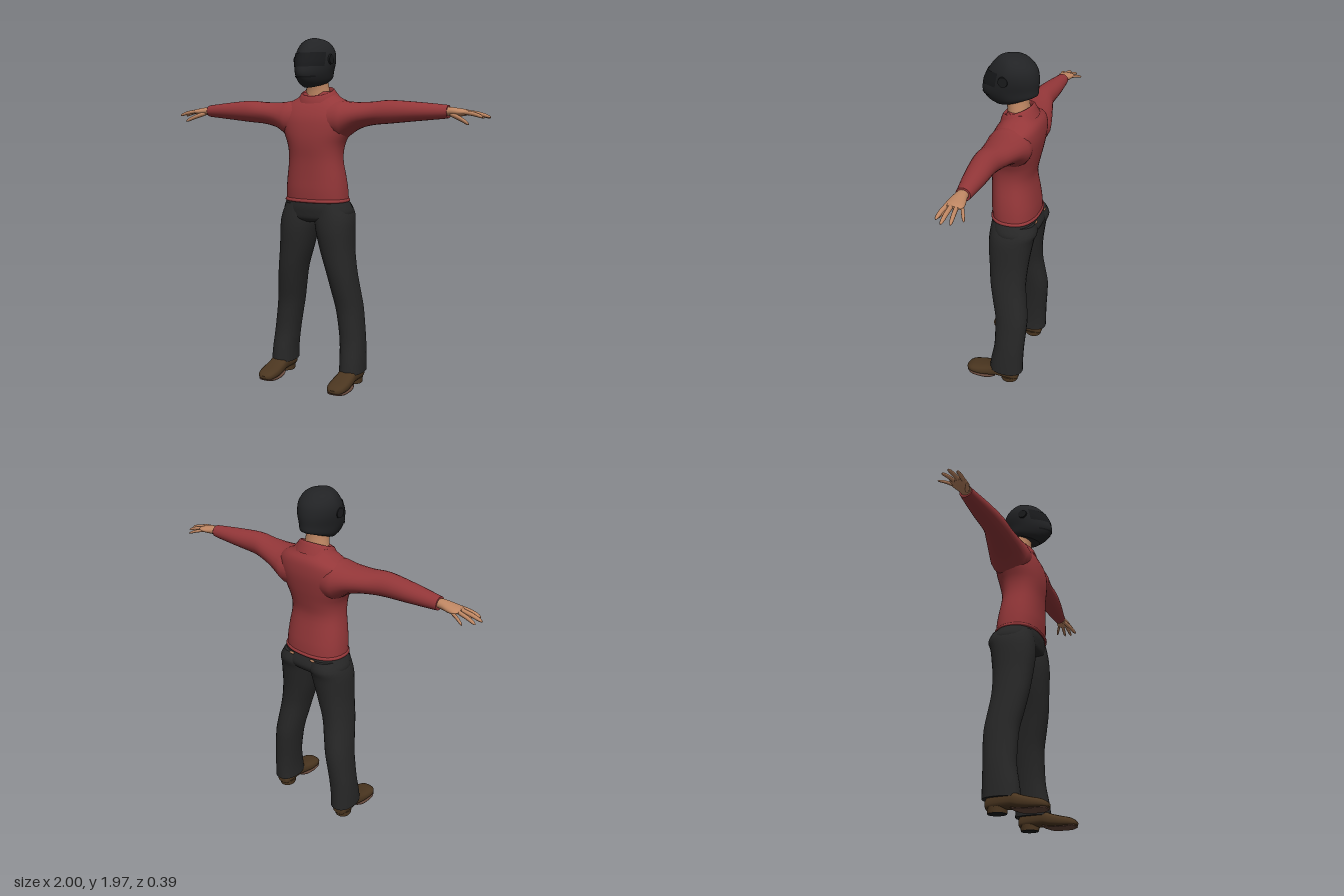
import * as THREE from 'three';

const mat = (name, color, side = THREE.FrontSide) => {
  const m = new THREE.MeshStandardMaterial({ color, side });
  m.name = name;
  return m;
};

// Catmull-Rom interpolation of the numbers in each row
function refine(rows, sub) {
  const out = [], last = rows.length - 1;
  for (let i = 0; i < last; i++) {
    const [a, b, c, d] = [rows[Math.max(i - 1, 0)], rows[i], rows[i + 1], rows[Math.min(i + 2, last)]];
    for (let k = 0; k < sub; k++) {
      const t = k / sub;
      out.push(b.map((v, j) => {
        const linear = c[j] - a[j];
        const square = 2 * a[j] - 5 * v + 4 * c[j] - d[j];
        const cubic = 3 * (v - c[j]) + d[j] - a[j];
        return v + 0.5 * t * (linear + t * (square + t * cubic));
      }));
    }
  }
  out.push(rows[last]);
  return out;
}

// Skin a series of cross-sections; point(row, angle) returns [x, y, z]
function loft(rows, point, { seg = 28, sub = 3, from = 0, arc = Math.PI * 2, cap = true, mirror = false } = {}) {
  const full = arc > 6.28, cols = full ? seg : seg + 1;
  const rings = refine(rows, sub), pos = [], idx = [];
  const put = p => pos.push(mirror ? -p[0] : p[0], p[1], p[2]);
  const tri = (a, b, c) => (mirror ? idx.push(a, c, b) : idx.push(a, b, c));
  const ring = r => { for (let j = 0; j < cols; j++) put(point(r, from + arc * j / seg)); };
  rings.forEach(ring);
  for (let i = 0; i < rings.length - 1; i++) {
    for (let j = 0; j < seg; j++) {
      const k = (j + 1) % cols, a = i * cols, b = a + cols;
      tri(a + j, a + k, b + j);
      tri(a + k, b + k, b + j);
    }
  }
  if (cap && full) {
    [rings[0], rings[rings.length - 1]].forEach((r, end) => {
      const s = pos.length / 3, p = point(r, 0), q = point(r, Math.PI);
      ring(r);
      put(p.map((v, i) => (v + q[i]) / 2));
      for (let j = 0; j < seg; j++) {
        const k = (j + 1) % seg;
        if (end) tri(s + j, s + k, s + cols); else tri(s + k, s + j, s + cols);
      }
    });
  }
  const g = new THREE.BufferGeometry();
  g.setAttribute('position', new THREE.Float32BufferAttribute(pos, 3));
  g.setIndex(idx);
  g.computeVertexNormals();
  return g;
}

// Cross-section rules: e squares off the ellipse
const pw = (v, e) => Math.sign(v) * Math.abs(v) ** e;
const mix = (lo, hi, t) => (lo + hi) / 2 + t * (hi - lo) / 2;
const alongY = e => ([y, x0, x1, zb, zf], a) => [mix(x0, x1, pw(Math.sin(a), e)), y, mix(zb, zf, pw(Math.cos(a), e))];
const alongX = ([x, y0, y1, z0, z1], a) => [x, mix(y0, y1, Math.cos(a)), mix(z0, z1, Math.sin(a))];
const alongZ = ([z, x0, x1, y0, y1], a) => [mix(x0, x1, pw(Math.cos(a), 0.75)), mix(y0, y1, pw(Math.sin(a), 0.75)), z];
// Tilted ring: half width, then back z, y and front z, y; taper narrows the front
const tilted = taper => ([w, zb, yb, zf, yf], a) => {
  const c = Math.cos(a);
  return [w * Math.sin(a) * (1 - taper * Math.max(c, 0)), mix(yb, yf, c), mix(zb, zf, c)];
};
const symmetric = rows => rows.map(([y, w, zb, zf]) => [y, -w, w, zb, zf]);

export function createModel() {
  const model = new THREE.Group();
  model.name = 'standingPerson';
  const red = mat('sweaterRed', 0x943739, THREE.DoubleSide);
  const black = mat('trouserBlack', 0x272727);
  const shell = mat('helmetBlack', 0x222325);
  const dark = mat('visorBlack', 0x191a1c, THREE.DoubleSide);
  const skin = mat('skin', 0xbf8763);
  const leather = mat('shoeBrown', 0x4b3620);
  const soleMat = mat('soleBrown', 0x64473a);
  const add = (name, geometry, material, parent = model) => {
    const m = new THREE.Mesh(geometry, material);
    m.name = name;
    parent.add(m);
    return m;
  };

  // Sweater body, hem and collar
  add('sweaterBody', loft(symmetric([
    [1.065, 0.186, -0.172, 0.085], [1.13, 0.183, -0.168, 0.09], [1.2, 0.175, -0.157, 0.09],
    [1.3, 0.16, -0.142, 0.092], [1.38, 0.166, -0.155, 0.1], [1.45, 0.195, -0.17, 0.1],
    [1.53, 0.22, -0.182, 0.088], [1.59, 0.215, -0.18, 0.06], [1.625, 0.175, -0.17, 0.035],
    [1.65, 0.125, -0.15, 0.02], [1.68, 0.1, -0.13, 0],
  ]), alongY(0.85), { seg: 40 }), red);
  add('sweaterHem', loft(symmetric([
    [1.06, 0.184, -0.17, 0.085], [1.064, 0.192, -0.178, 0.093], [1.074, 0.192, -0.178, 0.093], [1.082, 0.183, -0.169, 0.085],
  ]), alongY(0.85), { seg: 40, sub: 2, cap: false }), red);
  add('collar', loft([
    [0.125, -0.155, 1.655, 0.05, 1.615], [0.112, -0.14, 1.685, 0.045, 1.635],
    [0.097, -0.125, 1.71, 0.035, 1.655], [0.088, -0.113, 1.705, 0.025, 1.652], [0.085, -0.105, 1.67, 0.02, 1.635],
  ], tilted(0), { cap: false }), red);
  add('neck', loft(symmetric([
    [1.6, 0.085, -0.11, 0.02], [1.68, 0.07, -0.105, 0.015], [1.74, 0.063, -0.098, 0.025], [1.8, 0.065, -0.1, 0.03],
  ]), alongY(1)), skin);

  // Helmet with visor
  const helmet = new THREE.Group();
  helmet.name = 'helmet';
  model.add(helmet);
  add('helmetShell', loft([
    [0.073, -0.11, 1.752, 0.075, 1.7], [0.088, -0.146, 1.765, 0.125, 1.725], [0.1, -0.15, 1.8, 0.157, 1.775],
    [0.112, -0.152, 1.85, 0.14, 1.84], [0.111, -0.14, 1.9, 0.118, 1.89], [0.092, -0.11, 1.937, 0.082, 1.937],
    [0.06, -0.075, 1.96, 0.05, 1.962], [0.015, -0.025, 1.973, 0.012, 1.973],
  ], tilted(0.25), { seg: 36, sub: 4 }), shell, helmet);
  add('visor', loft([
    [0.112, -0.155, 1.825, 0.153, 1.812], [0.116, -0.155, 1.85, 0.145, 1.84], [0.115, -0.143, 1.9, 0.123, 1.888],
  ], tilted(0.25), { from: -1.2, arc: 2.4 }), dark, helmet);
  add('chinSlot', loft([
    [0.097, -0.152, 1.777, 0.152, 1.752], [0.1, -0.152, 1.785, 0.157, 1.76],
  ], tilted(0.25), { from: -0.9, arc: 1.8 }), dark, helmet);

  // Seat of the trousers
  add('trouserSeat', loft(symmetric([
    [0.945, 0.1, -0.13, 0.04], [0.965, 0.19, -0.165, 0.072], [1, 0.212, -0.187, 0.08],
    [1.04, 0.2, -0.178, 0.083], [1.09, 0.175, -0.155, 0.075],
  ]), alongY(0.85), { seg: 36 }), black);

  // Fingers: x, y, z of base, then tip, then radius
  const fingers = [
    ['indexFinger', 0.87, 1.567, -0.022, 0.968, 1.543, -0.008, 0.011],
    ['middleFinger', 0.87, 1.57, -0.045, 0.998, 1.543, -0.045, 0.011],
    ['ringFinger', 0.87, 1.568, -0.068, 0.985, 1.54, -0.085, 0.0105],
    ['littleFinger', 0.86, 1.562, -0.088, 0.94, 1.538, -0.128, 0.009],
    ['thumb', 0.79, 1.558, -0.035, 0.905, 1.508, 0.018, 0.013],
  ];

  for (const mirror of [false, true]) {
    const side = mirror ? 'right' : 'left';
    const opt = { mirror, seg: 24 };

    // Sleeve and hand
    const arm = new THREE.Group();
    arm.name = side + 'Arm';
    model.add(arm);
    add('sleeve', loft([
      [0.08, 1.41, 1.63, -0.16, 0.07], [0.16, 1.415, 1.632, -0.17, 0.075], [0.2, 1.44, 1.626, -0.165, 0.068],
      [0.26, 1.475, 1.622, -0.15, 0.055], [0.35, 1.497, 1.624, -0.125, 0.042], [0.45, 1.506, 1.632, -0.1, 0.035],
      [0.6, 1.52, 1.622, -0.1, 0.015], [0.755, 1.534, 1.607, -0.092, -0.015], [0.772, 1.537, 1.604, -0.09, -0.017],
    ], alongX, opt), red, arm);
    add('palm', loft([
      [0.75, 1.548, 1.594, -0.08, -0.026], [0.79, 1.548, 1.594, -0.083, -0.02], [0.835, 1.546, 1.588, -0.095, -0.01],
      [0.87, 1.552, 1.582, -0.1, -0.01], [0.89, 1.56, 1.575, -0.09, -0.02],
    ], alongX, opt), skin, arm);
    for (const [name, bx, by, bz, tx, ty, tz, r] of fingers) {
      const rows = [[0, 1], [0.5, 1], [0.88, 0.75], [1, 0.2]].map(([t, k]) => {
        const y = by + (ty - by) * t + 0.016 * t * (1 - t), z = bz + (tz - bz) * t;
        return [bx + (tx - bx) * t, y - r * k, y + r * k, z - r * k, z + r * k];
      });
      add(name, loft(rows, alongX, { mirror, seg: 10 }), skin, arm);
    }

    // Trouser leg
    const leg = new THREE.Group();
    leg.name = side + 'Leg';
    model.add(leg);
    add('trouserLeg', loft([
      [0.075, 0.158, 0.3, -0.157, 0.048], [0.15, 0.158, 0.298, -0.157, 0.038], [0.25, 0.15, 0.292, -0.16, 0.02],
      [0.35, 0.137, 0.281, -0.167, 0.018], [0.45, 0.12, 0.27, -0.17, 0.022], [0.55, 0.1, 0.257, -0.158, 0.042],
      [0.66, 0.076, 0.243, -0.145, 0.062], [0.78, 0.04, 0.23, -0.15, 0.074], [0.88, 0.015, 0.226, -0.163, 0.083],
      [0.95, 0.001, 0.222, -0.175, 0.082], [1, 0.003, 0.21, -0.192, 0.077], [1.05, 0.015, 0.185, -0.175, 0.07],
    ], alongY(0.9), opt), black, leg);

    // Glimpse of skin under the back of the hem
    const patch = add('waistSkin', new THREE.SphereGeometry(0.014, 10, 6), skin, leg);
    patch.scale.set(1.3, 0.6, 0.35);
    patch.position.set(mirror ? -0.075 : 0.075, 1.053, -0.177);

    // Shoe with sole and heel
    const shoe = new THREE.Group();
    shoe.name = side + 'Shoe';
    leg.add(shoe);
    add('shoeUpper', loft([
      [-0.132, 0.205, 0.255, 0.025, 0.06], [-0.122, 0.188, 0.272, 0.018, 0.085], [-0.07, 0.18, 0.28, 0.018, 0.11],
      [0, 0.178, 0.282, 0.02, 0.11], [0.05, 0.174, 0.286, 0.012, 0.088], [0.11, 0.17, 0.288, 0.006, 0.07],
      [0.16, 0.176, 0.282, 0.006, 0.058], [0.187, 0.19, 0.265, 0.01, 0.045], [0.198, 0.21, 0.245, 0.018, 0.034],
    ], alongZ, opt), leather, shoe);
    add('sole', loft([
      [0.01, 0.19, 0.27, 0.014, 0.026], [0.05, 0.175, 0.285, 0.002, 0.016], [0.11, 0.169, 0.289, 0, 0.012],
      [0.16, 0.176, 0.282, 0, 0.014], [0.19, 0.195, 0.26, 0.006, 0.018],
    ], alongZ, opt), soleMat, shoe);
    const heel = add('heel', new THREE.CylinderGeometry(0.049, 0.046, 0.03, 20), leather, shoe);
    heel.scale.z = 1.1;
    heel.position.set(mirror ? -0.23 : 0.23, 0.017, -0.075);
    const heelPad = add('heelPad', new THREE.CylinderGeometry(0.045, 0.045, 0.004, 20), dark, shoe);
    heelPad.scale.z = 1.1;
    heelPad.position.set(heel.position.x, 0.002, -0.075);

    // Visor hinge
    const hinge = add(side + 'Hinge', new THREE.CylinderGeometry(0.026, 0.028, 0.009, 20), dark, helmet);
    hinge.rotation.z = mirror ? Math.PI / 2 : -Math.PI / 2;
    hinge.position.set(mirror ? -0.111 : 0.111, 1.855, 0.005);
  }
  return model;
}
